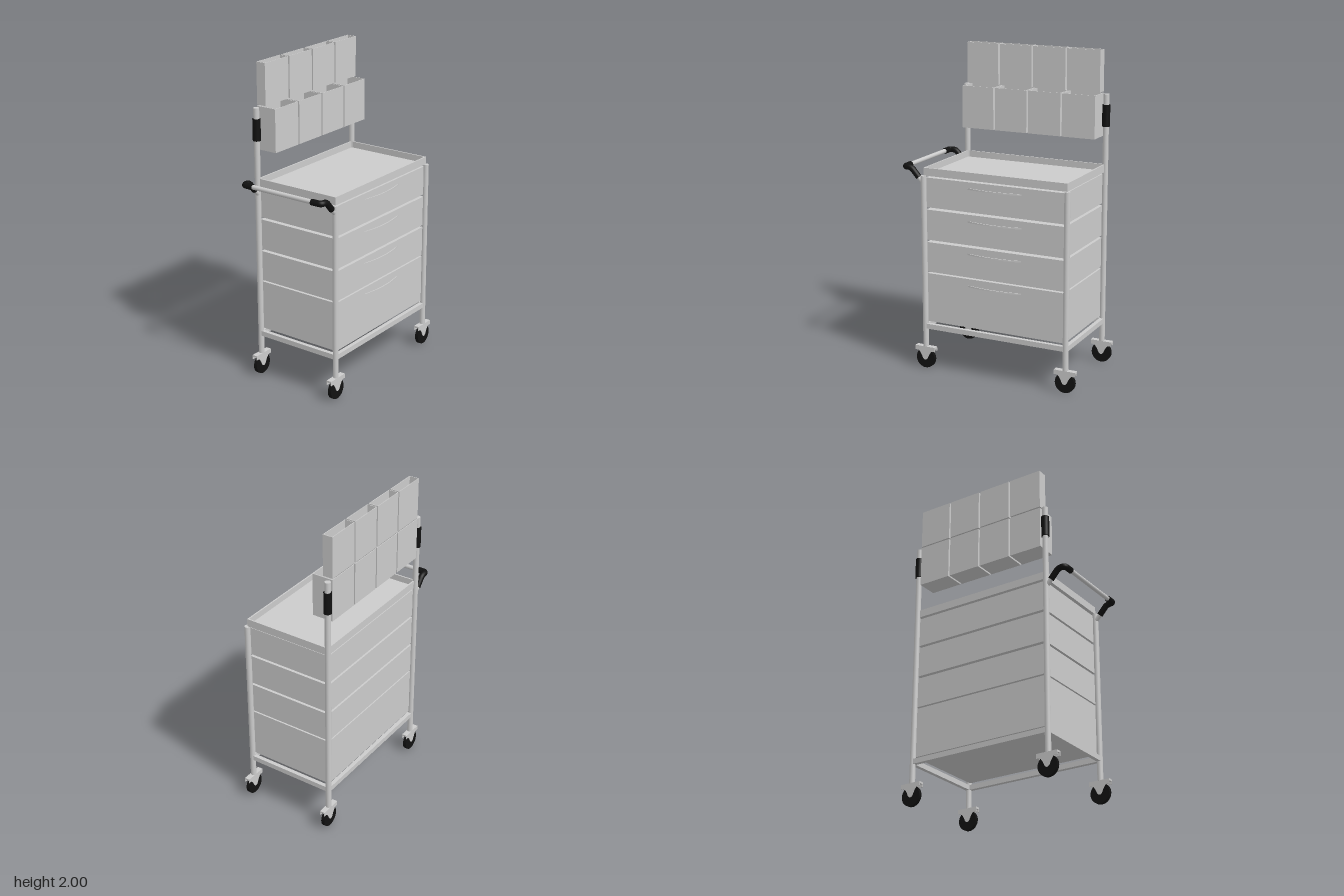
import * as THREE from 'three';

const grey = new THREE.MeshStandardMaterial({ color: 0xcccccc });
const greyThin = new THREE.MeshStandardMaterial({ color: 0xcccccc, side: THREE.DoubleSide });
const black = new THREE.MeshStandardMaterial({ color: 0x111111 });

// Frame layout
const LEFT = 0.519, RIGHT = -0.439, MID = 0.04, DEPTH = 0.29;
const WIDTH = LEFT - RIGHT;

function add(parent, name, geometry, material = grey, x = 0, y = 0, z = 0) {
  const mesh = new THREE.Mesh(geometry, material);
  mesh.name = name;
  mesh.position.set(x, y, z);
  parent.add(mesh);
  return mesh;
}

// Box given by its minimum and maximum corners
function span(parent, name, [x0, y0, z0], [x1, y1, z1], material = grey) {
  return add(parent, name, new THREE.BoxGeometry(x1 - x0, y1 - y0, z1 - z0), material,
    (x0 + x1) / 2, (y0 + y1) / 2, (z0 + z1) / 2);
}

// Open-topped box: floor and four walls of thickness t
function openBox(name, [x0, y0, z0], [x1, y1, z1], t) {
  const g = new THREE.Group();
  g.name = name;
  span(g, 'floor', [x0, y0, z0], [x1, y0 + t, z1]);
  span(g, 'frontWall', [x0, y0 + t, z1 - t], [x1, y1, z1]);
  span(g, 'backWall', [x0, y0 + t, z0], [x1, y1, z0 + t]);
  span(g, 'rightWall', [x0, y0 + t, z0 + t], [x0 + t, y1, z1 - t]);
  span(g, 'leftWall', [x1 - t, y0 + t, z0 + t], [x1, y1, z1 - t]);
  return g;
}

// Tube with flat end caps along straight pieces with rounded corners
function pipe(parent, name, points, radius, material, bend = 0.03) {
  const v = points.map(p => new THREE.Vector3(...p));
  const path = new THREE.CurvePath();
  let from = v[0];
  for (let i = 1; i < v.length - 1; i++) {
    const a = v[i].clone().add(v[i - 1].clone().sub(v[i]).setLength(bend));
    const b = v[i].clone().add(v[i + 1].clone().sub(v[i]).setLength(bend));
    path.add(new THREE.LineCurve3(from, a));
    path.add(new THREE.QuadraticBezierCurve3(a, v[i], b));
    from = b;
  }
  path.add(new THREE.LineCurve3(from, v[v.length - 1]));
  add(parent, name, new THREE.TubeGeometry(path, 40, radius, 16), material);
  for (const t of [0, 1]) {
    const cap = add(parent, name + 'Cap', new THREE.CircleGeometry(radius, 16), material);
    cap.position.copy(path.getPoint(t));
    const out = path.getTangent(t).multiplyScalar(t ? 1 : -1);
    cap.quaternion.setFromUnitVectors(new THREE.Vector3(0, 0, 1), out);
  }
}

// Caster: black wheel between two tapering fork cheeks under a plate
function caster() {
  const g = new THREE.Group();
  g.name = 'caster';
  const wheel = add(g, 'wheel', new THREE.CylinderGeometry(0.064, 0.064, 0.024, 32), black, 0, 0.064, 0);
  wheel.rotation.x = Math.PI / 2;
  const s = new THREE.Shape();
  s.moveTo(-0.069, 0.142);
  s.lineTo(-0.069, 0.113);
  s.lineTo(-0.047, 0.113);
  s.quadraticCurveTo(-0.03, 0.1, -0.015, 0.062);
  s.quadraticCurveTo(0, 0.045, 0.015, 0.062);
  s.quadraticCurveTo(0.03, 0.1, 0.047, 0.113);
  s.lineTo(0.069, 0.113);
  s.lineTo(0.069, 0.142);
  const cheek = new THREE.ExtrudeGeometry(s, { depth: 0.004, bevelEnabled: false });
  add(g, 'forkFront', cheek, grey, 0, 0, 0.013);
  add(g, 'forkBack', cheek, grey, 0, 0, -0.017);
  span(g, 'forkPlate', [-0.069, 0.13, -0.013], [0.069, 0.142, 0.013]);
  return g;
}

// Crescent pull lying flat against a drawer front
function pullGeometry() {
  const s = new THREE.Shape();
  s.moveTo(-0.185, 0);
  s.quadraticCurveTo(0, 0.05, 0.185, 0);
  s.lineTo(0.165, 0);
  s.quadraticCurveTo(0, 0.036, -0.165, 0);
  s.closePath();
  const geo = new THREE.ExtrudeGeometry(s, { depth: 0.009, bevelEnabled: false, curveSegments: 20 });
  return geo.rotateX(Math.PI / 2);
}

export function createModel() {
  const model = new THREE.Group();
  model.name = 'drawerTrolley';

  // Posts, casters and clamps
  for (const x of [RIGHT, LEFT]) {
    for (const z of [DEPTH, -DEPTH]) {
      const top = z > 0 ? 1.243 : 1.73;
      add(model, z > 0 ? 'frontPost' : 'backPost',
        new THREE.CylinderGeometry(0.018, 0.018, top - 0.14, 24), grey, x, (top + 0.14) / 2, z);
      const c = caster();
      c.position.set(x, 0, z);
      model.add(c);
    }
    add(model, 'postClamp', new THREE.CylinderGeometry(0.0245, 0.0245, 0.135, 24), black, x, 1.597, -DEPTH);
  }

  // Base rails
  for (const z of [DEPTH, -DEPTH])
    add(model, 'baseRail', new THREE.BoxGeometry(WIDTH, 0.032, 0.026), grey, MID, 0.278, z);
  for (const x of [RIGHT, LEFT])
    add(model, 'baseSideRail', new THREE.BoxGeometry(0.026, 0.032, 2 * DEPTH), grey, x, 0.278, 0);

  // Drawers with pulls
  const pull = pullGeometry();
  const drawers = [[1.045, 1.232, 1.195], [0.838, 1.03, 0.989], [0.632, 0.823, 0.784], [0.308, 0.622, 0.58]];
  for (const [y0, y1, yPull] of drawers) {
    const d = new THREE.Group();
    d.name = 'drawer';
    span(d, 'drawerBody', [RIGHT + 0.012, y0, -0.285], [LEFT - 0.012, y1, 0.285]);
    add(d, 'drawerPull', pull, greyThin, MID, yPull, 0.284);
    model.add(d);
  }

  // Worktop tray
  model.add(openBox('topTray', [RIGHT, 1.244, -DEPTH], [LEFT, 1.293, DEPTH], 0.009));

  // Two rows of storage bins
  for (let i = 0; i < 4; i++) {
    const x = -0.302 + i * 0.229, h = 0.109;
    model.add(openBox('upperBin', [x - h, 1.742, -0.305], [x + h, 2, -0.241], 0.004));
    model.add(openBox('lowerBin', [x - h, 1.466, -0.305], [x + h, 1.734, -0.17], 0.004));
  }

  // Push handle: grey bar, black elbows, grey stubs into the posts
  pipe(model, 'handleBar', [[-0.57, 1.288, -0.23], [-0.57, 1.288, 0.23]], 0.014, grey);
  for (const s of [1, -1]) {
    const z = s * 0.287;
    pipe(model, 'handleElbow',
      [[-0.472, 1.228, z], [-0.525, 1.288, z], [-0.57, 1.288, z], [-0.57, 1.288, s * 0.218]], 0.019, black, 0.022);
    pipe(model, 'handleStub', [[-0.437, 1.19, z], [-0.485, 1.242, z]], 0.014, grey);
  }
  return model;
}
